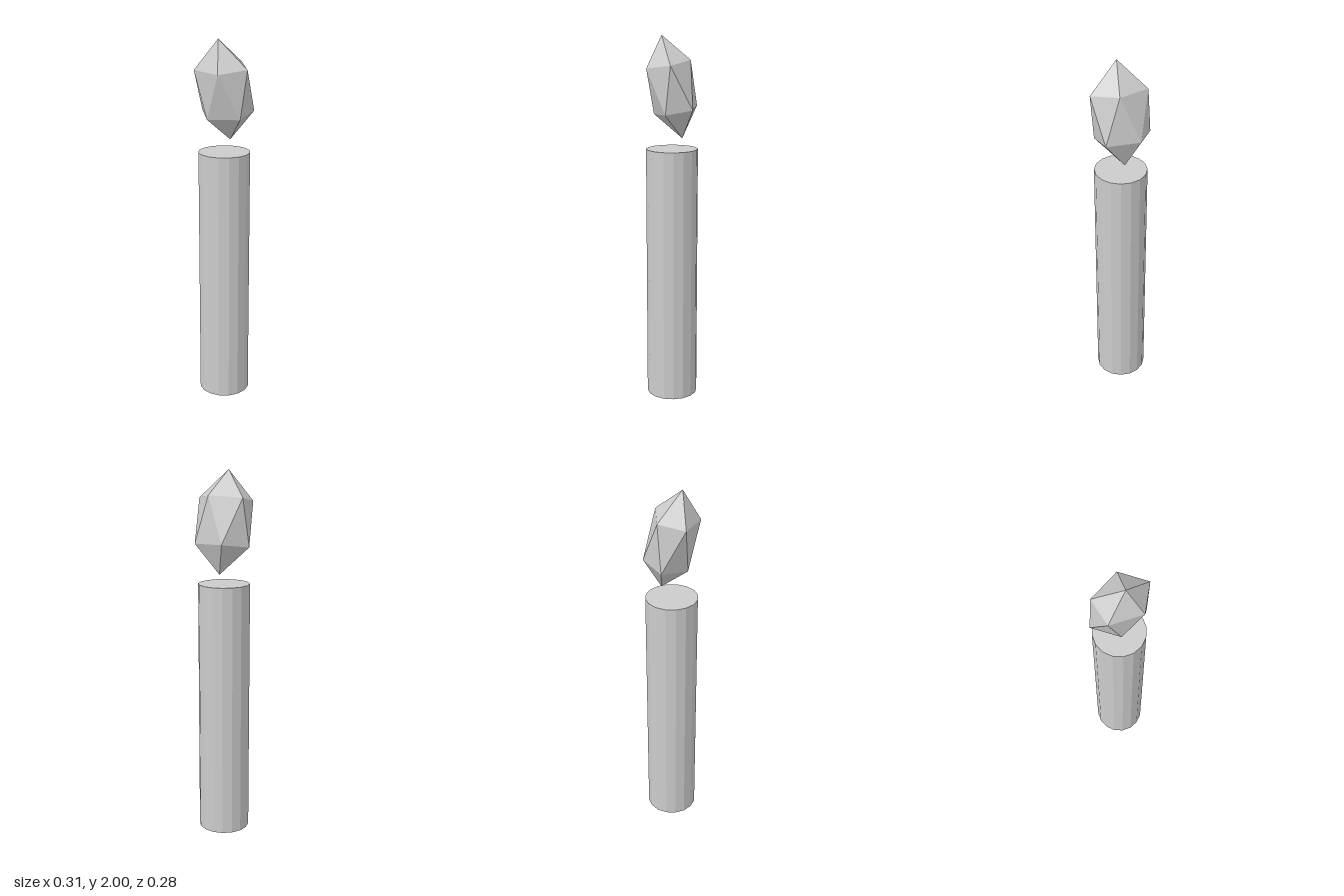
import * as THREE from 'three';
import { ConvexGeometry } from 'three/addons/geometries/ConvexGeometry.js';

export function createModel() {
  const model = new THREE.Group();
  const material = new THREE.MeshStandardMaterial({ color: 0xcccccc, flatShading: true });

  // Candle body: 16-sided column standing on the ground
  const body = new THREE.Mesh(new THREE.CylinderGeometry(0.14, 0.14, 1.4, 16), material);
  body.name = 'candleBody';
  body.position.y = 0.7;
  model.add(body);

  // Flame: tilted, stretched icosahedron; tip and upper ring mirrored through its centre
  const upper = [
    [0, 0.272, 0.055],
    [0.156, 0.122, 0.018],
    [0.054, 0.102, 0.138],
    [-0.122, 0.109, 0.101],
    [-0.129, 0.135, -0.043],
    [0.044, 0.145, -0.095],
  ].map((p) => new THREE.Vector3(...p));
  const lower = upper.map((p) => p.clone().negate());
  const flame = new THREE.Mesh(new ConvexGeometry([...upper, ...lower]), material);
  flame.name = 'flame';
  flame.position.y = 1.728;
  model.add(flame);

  return model;
}
